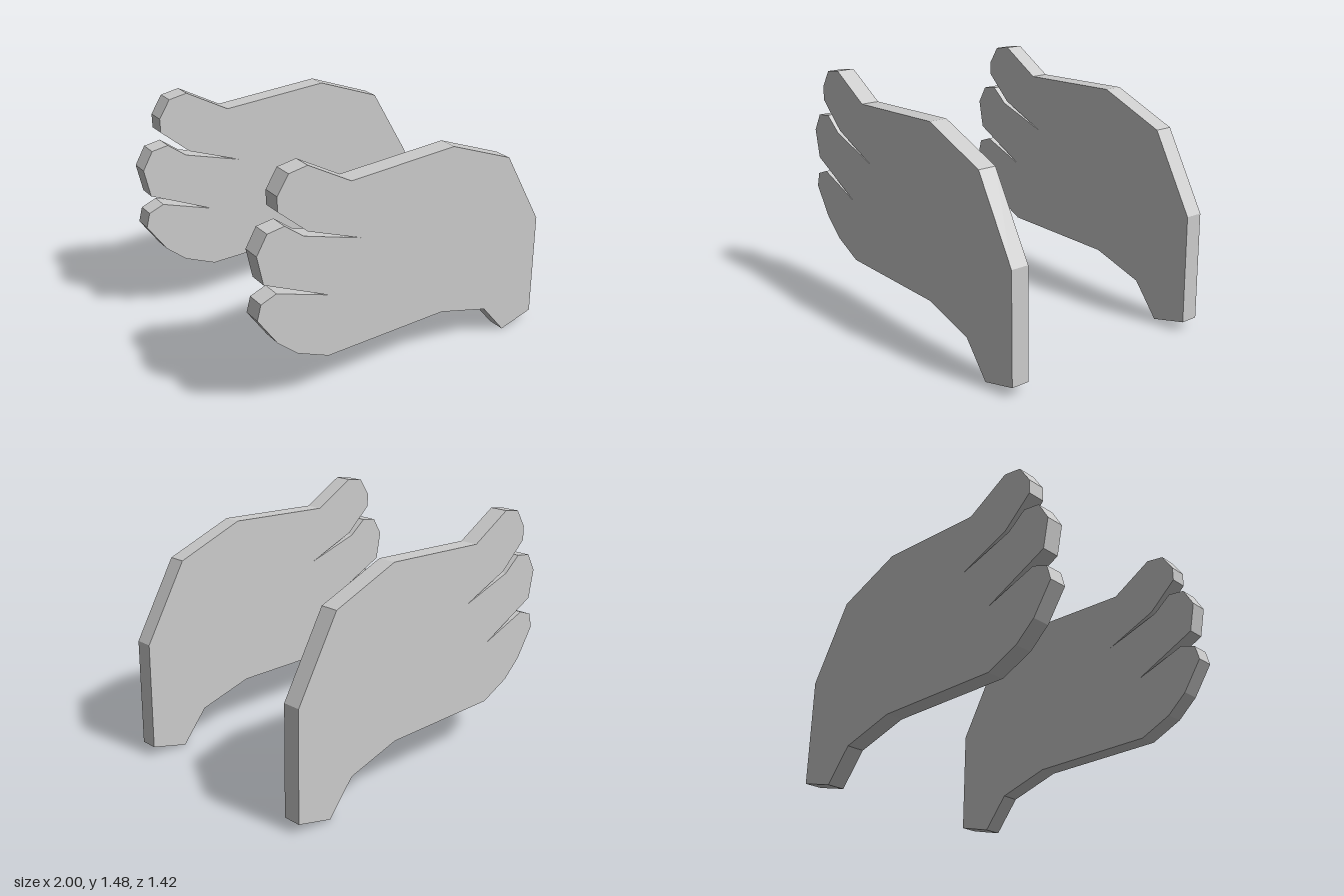
import * as THREE from 'three';

// Flat hand outline, counter-clockwise from the wrist corner
const OUTLINE = [
  // wrist and back of the hand
  [0.77, 0], [1, 0.06], [0.99, 0.72], [0.72, 1.185], [0.29, 1.355], [-0.405, 1.325],
  // upper finger
  [-0.675, 1.48], [-0.79, 1.462], [-0.86, 1.355], [-0.86, 1.27], [-0.68, 1.11], [-0.34, 0.973],
  // middle finger
  [-0.705, 1.09], [-0.82, 1.18], [-0.925, 1.165], [-0.99, 1.055], [-0.955, 0.88], [-0.555, 0.69],
  // lower finger
  [-0.88, 0.805], [-0.975, 0.77], [-1, 0.68], [-0.88, 0.5], [-0.755, 0.39],
  // palm edge
  [-0.555, 0.3], [0.26, 0.3], [0.605, 0.2],
];
const THICKNESS = 0.11;
const CENTRE_Z = 0.655;

export function createModel() {
  const group = new THREE.Group();
  group.name = 'pairOfHands';

  const shape = new THREE.Shape(OUTLINE.map(([x, y]) => new THREE.Vector2(x, y)));
  const geometry = new THREE.ExtrudeGeometry(shape, { depth: THICKNESS, bevelEnabled: false });
  geometry.translate(0, 0, -THICKNESS / 2);
  const material = new THREE.MeshStandardMaterial({ color: 0xcccccc, flatShading: true });

  // Two identical slabs, front and back
  for (const [name, side] of [['frontHand', 1], ['backHand', -1]]) {
    const hand = new THREE.Mesh(geometry, material);
    hand.name = name;
    hand.position.z = side * CENTRE_Z;
    group.add(hand);
  }
  return group;
}
